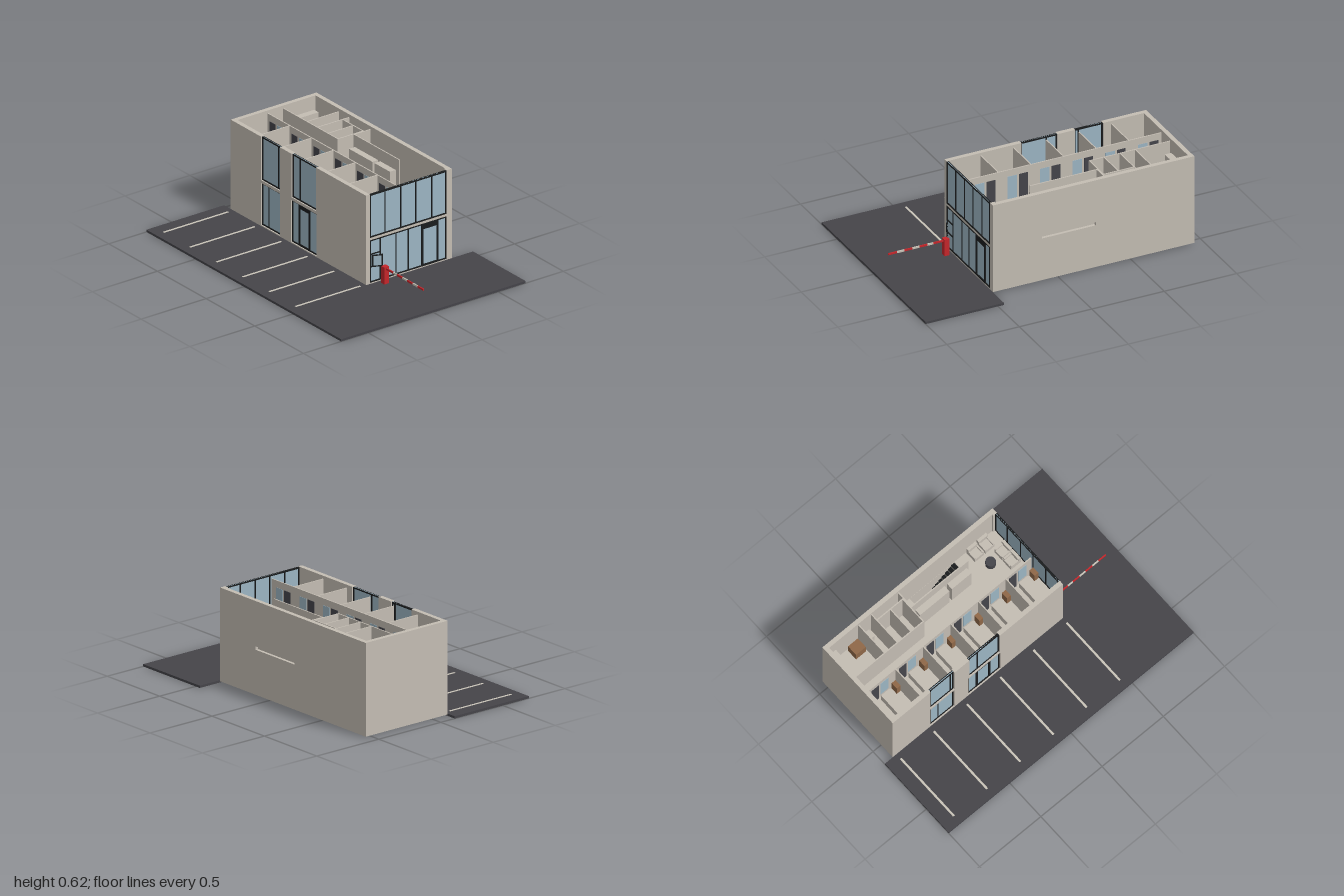
import * as THREE from 'three';

const mat = (name, color) => Object.assign(new THREE.MeshStandardMaterial({ color }), { name });
const M = {
  wall: mat('plaster', 0xc4bdb3),
  asphalt: mat('asphalt', 0x454449),
  glass: mat('glass', 0x9cb5c3),
  frame: mat('dark frame', 0x1a1c1d),
  red: mat('barrier red', 0xc6262b),
  wood: mat('wood', 0x8f6848),
  door: mat('door grey', 0x45454b),
  white: mat('line paint', 0xc9c4b8),
};

// Box given by its limits on each axis
function box(parent, name, m, x0, x1, y0, y1, z0, z1) {
  const mesh = new THREE.Mesh(new THREE.BoxGeometry(x1 - x0, y1 - y0, z1 - z0), m);
  mesh.position.set((x0 + x1) / 2, (y0 + y1) / 2, (z0 + z1) / 2);
  mesh.name = name;
  parent.add(mesh);
  return mesh;
}

function group(parent, name) {
  const g = new THREE.Group();
  g.name = name;
  parent.add(g);
  return g;
}

// Closed outline from a list of corner points
function outline(points, Type = THREE.Shape) {
  return new Type(points.map(([x, y]) => new THREE.Vector2(x, y)));
}
const rect = (x0, x1, y0, y1) => outline([[x0, y0], [x1, y0], [x1, y1], [x0, y1]], THREE.Path);

function plate(parent, name, m, shape, depth) {
  const mesh = new THREE.Mesh(new THREE.ExtrudeGeometry(shape, { depth, bevelEnabled: false }), m);
  mesh.name = name;
  parent.add(mesh);
  return mesh;
}

// Framed glazing in the XY plane, z from 0 to 0.015, with optional door
function glazing(parent, name, x0, x1, y0, y1, mullions, door) {
  const g = group(parent, name), t = 0.008;
  box(g, 'pane', M.glass, x0, x1, y0, y1, 0.005, 0.01);
  box(g, 'frameBottom', M.frame, x0, x1, y0, y0 + t, 0, 0.015);
  box(g, 'frameTop', M.frame, x0, x1, y1 - t, y1, 0, 0.015);
  box(g, 'frameSide', M.frame, x0, x0 + t, y0 + t, y1 - t, 0, 0.015);
  box(g, 'frameSide', M.frame, x1 - t, x1, y0 + t, y1 - t, 0, 0.015);
  for (const [x, w] of mullions) box(g, 'mullion', M.frame, x - w / 2, x + w / 2, y0 + t, y1 - t, 0, 0.014);
  if (door) {
    const [a, b, head] = door;
    box(g, 'doorHead', M.frame, a, b, head, y1 - t, 0, 0.016);
    box(g, 'doorPost', M.frame, a, a + 0.013, y0, head, 0, 0.016);
    box(g, 'doorPost', M.frame, b - 0.013, b, y0, head, 0, 0.016);
    box(g, 'doorSill', M.frame, a + 0.013, b - 0.013, y0, y0 + 0.012, 0, 0.016);
  }
  return g;
}

export function createModel() {
  const root = new THREE.Group();
  root.name = 'officeBuilding';

  // L-shaped parking ground and bay lines
  const ground = plate(root, 'parkingGround', M.asphalt, outline(
    [[-1, -0.71], [1, -0.71], [1, 0.71], [0.46, 0.71], [0.46, -0.112], [-1, -0.112]]), 0.015);
  ground.rotation.x = -Math.PI / 2;
  for (let i = 0; i < 6; i++) {
    const x = -0.905 + i * 0.271;
    box(root, 'parkingLine', M.white, x - 0.007, x + 0.007, 0.015, 0.017, 0.15, 0.65);
  }

  // Outer shell
  const shell = group(root, 'shell'), H = 0.62, B = 0.01;
  plate(shell, 'frontWall', M.wall, (() => {
    const s = outline([[-0.935, B], [0.455, B], [0.455, H], [-0.06, H], [-0.06, 0.325], [-0.31, 0.325],
      [-0.31, H], [-0.43, H], [-0.43, 0.325], [-0.625, 0.325], [-0.625, H], [-0.935, H]]);
    s.holes.push(rect(-0.625, -0.43, 0.02, 0.305), rect(-0.315, -0.055, 0.02, 0.305));
    return s;
  })(), 0.03).position.z = 0.08;
  plate(shell, 'backWall', M.wall, (() => {
    const s = outline([[-0.935, B], [0.455, B], [0.455, H], [-0.935, H]]);
    s.holes.push(rect(-0.255, 0.115, 0.303, 0.325));
    return s;
  })(), 0.03).position.z = -0.55;
  box(shell, 'slotBack', M.wall, -0.255, 0.115, 0.303, 0.325, -0.53, -0.52);
  box(shell, 'endWall', M.wall, -0.935, -0.905, B, H, -0.52, 0.08);
  box(shell, 'cornerPost', M.wall, 0.425, 0.455, B, H, -0.52, -0.51);
  box(shell, 'sideSill', M.wall, 0.425, 0.455, B, 0.02, -0.51, 0.08);
  box(shell, 'sideSpandrel', M.wall, 0.425, 0.455, 0.305, 0.325, -0.51, 0.08);
  box(shell, 'groundFloor', M.wall, -0.905, 0.425, B, 0.018, -0.52, 0.08);
  const slab = outline([[-0.905, -0.08], [0.425, -0.08], [0.425, 0.52], [-0.905, 0.52]]);
  slab.holes.push(rect(-0.25, 0.115, 0.4, 0.519));
  const upper = plate(shell, 'upperFloor', M.wall, slab, 0.02);
  upper.rotation.x = -Math.PI / 2;
  upper.position.y = 0.305;

  // Front windows
  const front = group(root, 'frontWindows');
  front.position.z = 0.087;
  glazing(front, 'upperWindow', -0.625, -0.43, 0.325, 0.617, [[-0.457, 0.01]]);
  glazing(front, 'upperWindow', -0.31, -0.06, 0.325, 0.617, [[-0.235, 0.008]]);
  glazing(front, 'lowerWindow', -0.625, -0.43, 0.02, 0.305, [[-0.555, 0.004]]);
  glazing(front, 'frontEntrance', -0.315, -0.055, 0.02, 0.305, [], [-0.247, -0.131, 0.272]);

  // Side glass wall, local x runs towards the back
  const side = group(root, 'sideGlazing');
  side.rotation.y = Math.PI / 2;
  side.position.x = 0.441;
  glazing(side, 'upperGlassWall', -0.08, 0.51, 0.325, 0.617, [0.038, 0.158, 0.275, 0.398].map(x => [x, 0.007]));
  glazing(side, 'lowerGlassWall', -0.08, 0.51, 0.02, 0.308, [0, 0.123, 0.217].map(x => [x, 0.007]), [0.317, 0.447, 0.27]);
  box(side, 'hatchRail', M.frame, -0.072, 0, 0.122, 0.129, 0, 0.015);
  box(side, 'hatchRail', M.frame, -0.072, 0, 0.207, 0.214, 0, 0.015);

  // Open service window, swung outward
  const hatch = glazing(root, 'openHatch', 0, 0.072, 0.127, 0.209, [[0.014, 0.004]]);
  hatch.scale.z = 0.4;
  hatch.position.set(0.457, 0, 0.07);
  hatch.rotation.y = 1.15;

  // Upper floor partitions
  const rooms = group(root, 'partitions'), F = 0.325, P = 0.6;
  const wall = (x0, x1, z0, z1) => box(rooms, 'partition', M.wall, x0, x1, F, P, z0, z1);
  wall(-0.905, 0.425, -0.16, -0.152);
  for (let i = 0; i < 6; i++) {
    const right = -0.682 + i * 0.225, left = right - 0.225;
    if (i < 5) wall(right - 0.004, right + 0.004, -0.152, 0.08);
    // Door and pane in the corridor wall, desk and cabinet in each office
    box(rooms, 'officeDoor', M.door, left + 0.025, left + 0.085, F, 0.555, -0.163, -0.149);
    box(rooms, 'officePane', M.glass, left + 0.1, left + 0.165, 0.37, 0.555, -0.162, -0.15);
    box(rooms, 'desk', M.wall, left + 0.09, left + 0.16, F, 0.4, -0.135, 0.07);
    box(rooms, 'cabinet', M.wood, right - 0.037, right - 0.006, F, 0.42, -0.148, -0.1);
  }
  wall(-0.905, -0.345, -0.28, -0.272);
  wall(-0.669, -0.661, -0.52, -0.28);
  wall(-0.564, -0.556, -0.52, -0.28);
  wall(-0.556, -0.345, -0.474, -0.466);
  wall(-0.454, -0.446, -0.466, -0.28);
  wall(-0.353, -0.345, -0.466, -0.28);
  wall(-0.345, -0.337, -0.52, -0.4);
  wall(-0.345, 0.122, -0.4, -0.392);

  // Staircase
  const stairs = group(root, 'staircase'), steps = 14, run = 0.365 / steps;
  for (let i = 0; i < steps; i++) {
    const x = -0.25 + i * run, y = 0.018 + (i + 1) * 0.0215;
    box(stairs, 'step', M.frame, x, x + run * 0.94, y - 0.02, y, -0.518, -0.401);
  }

  // Lounge and back room furniture
  const furniture = group(root, 'furniture');
  const item = (name, m, x0, x1, z0, z1, h) => box(furniture, name, m, x0, x1, F, F + h, z0, z1);
  item('tallCabinet', M.wall, -0.905, -0.86, -0.51, -0.295, 0.2);
  item('table', M.wood, -0.76, -0.68, -0.51, -0.435, 0.08);
  item('sideCabinet', M.wood, -0.555, -0.53, -0.36, -0.29, 0.1);
  item('sideCabinet', M.wood, -0.445, -0.422, -0.36, -0.29, 0.1);
  item('basin', M.wall, -0.635, -0.59, -0.51, -0.455, 0.08);
  item('basin', M.wall, -0.656, -0.625, -0.39, -0.355, 0.08);
  item('counter', M.wall, -0.32, -0.08, -0.385, -0.34, 0.2);
  item('counter', M.wall, -0.06, 0.1, -0.385, -0.34, 0.2);
  item('reception', M.wall, 0.32, 0.425, -0.205, -0.165, 0.1);
  const armchair = (x, z, turn) => {
    const g = group(furniture, 'armchair');
    box(g, 'seat', M.wall, -0.037, 0.037, 0, 0.04, -0.02, 0.04);
    box(g, 'backrest', M.wall, -0.037, 0.037, 0, 0.08, -0.04, -0.02);
    for (const s of [-0.032, 0.032]) box(g, 'armrest', M.wall, s - 0.006, s + 0.006, 0.04, 0.055, -0.02, 0.038);
    g.position.set(x, F, z);
    g.rotation.y = turn;
  };
  armchair(0.248, -0.475, 0);
  armchair(0.332, -0.475, 0);
  armchair(0.385, -0.37, -Math.PI / 2);
  armchair(0.385, -0.288, -Math.PI / 2);
  const table = new THREE.Mesh(new THREE.CylinderGeometry(0.033, 0.033, 0.05, 24), M.door);
  table.name = 'roundTable';
  table.position.set(0.275, F + 0.025, -0.362);
  furniture.add(table);

  // Car barrier with striped boom
  const barrier = group(root, 'barrier');
  box(barrier, 'post', M.red, 0.485, 0.52, 0.015, 0.13, -0.018, 0.018);
  const cuts = [0.52, 0.59, 0.63, 0.685, 0.735, 0.79, 0.84, 0.9];
  for (let i = 0; i < 7; i++)
    box(barrier, 'boomSegment', i % 2 ? M.white : M.red, cuts[i], cuts[i + 1], 0.11, 0.122, -0.004, 0.004);
  return root;
}
